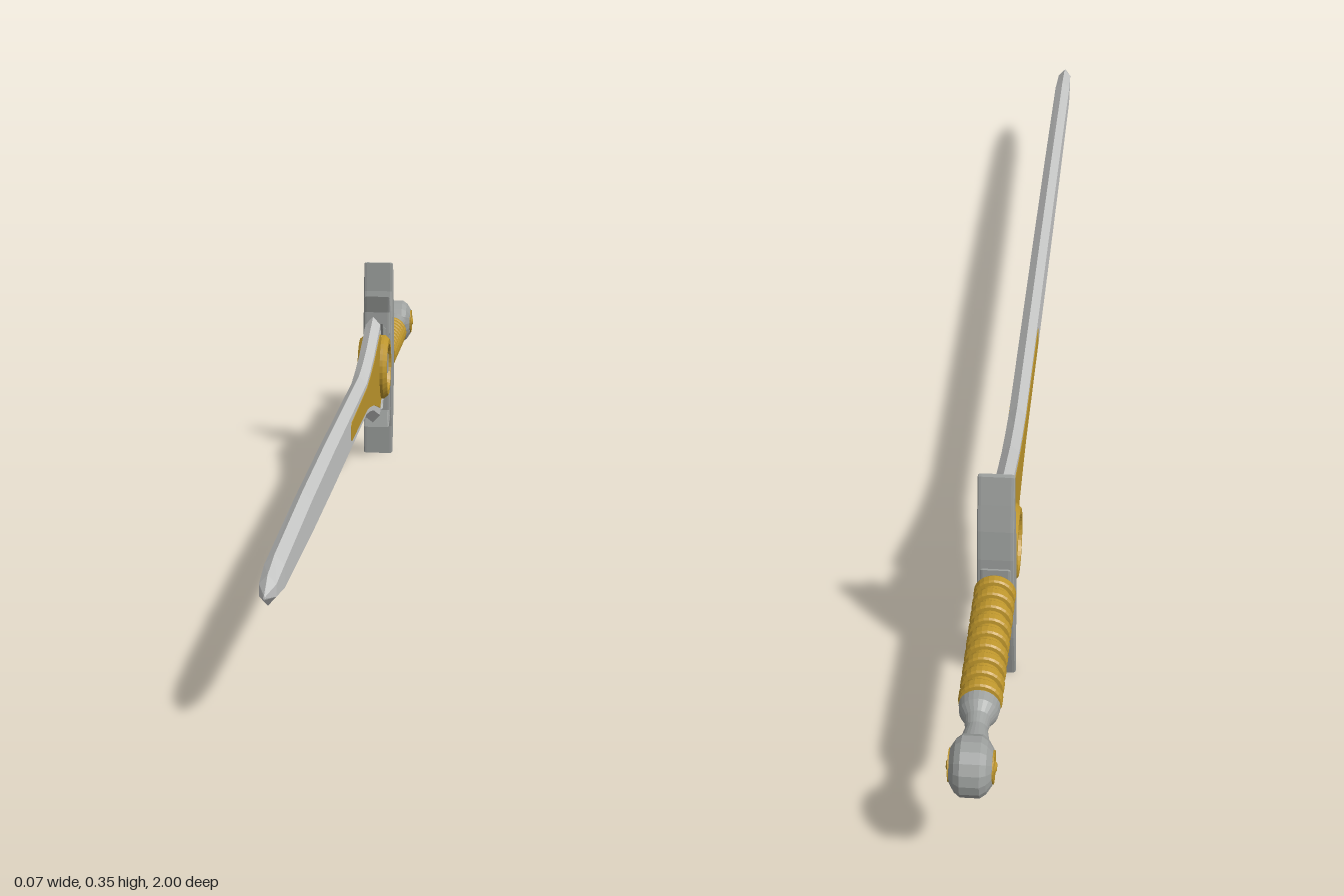
import * as THREE from 'three';

const silver = new THREE.MeshStandardMaterial({ color: 0xc6c7c6 });
silver.name = 'bladeSilver';
const steel = new THREE.MeshStandardMaterial({ color: 0x9da09e });
steel.name = 'guardSteel';
const gold = new THREE.MeshStandardMaterial({ color: 0xbe962c });
gold.name = 'gold';

const V2 = (p) => new THREE.Vector2(p[0], p[1]);

function mesh(name, geometry, material) {
  const m = new THREE.Mesh(geometry, material);
  m.name = name;
  return m;
}

// Faceted surface of revolution; profile is [radius, position along the axis]
function turned(profile, axis, segments = 32) {
  const g = new THREE.LatheGeometry(profile.map(V2), segments);
  if (axis === 'z') g.rotateX(Math.PI / 2);
  else g.rotateZ(-Math.PI / 2);
  const flat = g.toNonIndexed();
  flat.computeVertexNormals();
  return flat;
}

// Outline in [z, y], given thickness across x
function plate(points, width, bevel = 0, thick = 0) {
  const shape = new THREE.Shape(points.map(V2));
  const g = new THREE.ExtrudeGeometry(shape, {
    depth: width - 2 * thick, bevelEnabled: bevel > 0, bevelSize: bevel,
    bevelOffset: -bevel, bevelThickness: thick, bevelSegments: 2,
  });
  g.translate(0, 0, -(width - 2 * thick) / 2);
  g.rotateY(-Math.PI / 2);
  return g;
}

// Mirror an upper half outline about y = 0
const mirrored = (half) => [...half, ...half.slice().reverse().filter((p) => p[1] !== 0).map(([z, y]) => [z, -y])];

// Blade lofted from six-sided sections [z, edge height, flat height, half width]
function bladeGeometry() {
  const sections = [
    [1, 0.003, 0.001, 0.001], [0.965, 0.02, 0.008, 0.011], [0.9, 0.028, 0.015, 0.013],
    [0.6, 0.037, 0.023, 0.013], [0.3, 0.04, 0.026, 0.013], [-0.2, 0.04, 0.026, 0.013],
    [-0.26, 0.047, 0.034, 0.013], [-0.33, 0.06, 0.047, 0.013], [-0.4, 0.08, 0.067, 0.013],
    [-0.455, 0.096, 0.082, 0.013], [-0.472, 0.066, 0.058, 0.013], [-0.52, 0.045, 0.04, 0.013],
  ];
  const rings = sections.map(([z, h, f, w]) =>
    [[0, h], [-w, f], [-w, -f], [0, -h], [w, -f], [w, f]].map(([x, y]) => [x, y, z]));
  const pos = [];
  for (let i = 0; i < rings.length - 1; i++) {
    for (let k = 0; k < 6; k++) {
      const n = (k + 1) % 6;
      const [a, b, c, d] = [rings[i][k], rings[i][n], rings[i + 1][n], rings[i + 1][k]];
      pos.push(...a, ...d, ...c, ...a, ...c, ...b);
    }
  }
  const first = rings[0], last = rings[rings.length - 1];
  for (let k = 1; k < 5; k++) {
    pos.push(...first[0], ...first[k], ...first[k + 1]);
    pos.push(...last[0], ...last[k + 1], ...last[k]);
  }
  const g = new THREE.BufferGeometry();
  g.setAttribute('position', new THREE.Float32BufferAttribute(pos, 3));
  g.computeVertexNormals();
  return g;
}

export function createModel() {
  const sword = new THREE.Group();
  sword.name = 'sword';
  sword.position.y = 0.176;

  sword.add(mesh('blade', bladeGeometry(), silver));

  // Gold inlay on both faces of the blade
  const inlay = mirrored([
    [0.065, 0.011], [0.055, 0.015], [-0.2, 0.019], [-0.26, 0.026],
    [-0.33, 0.038], [-0.4, 0.055], [-0.445, 0.067], [-0.47, 0.055], [-0.49, 0.045],
  ]);
  for (const side of [1, -1]) {
    const p = mesh(side > 0 ? 'leftInlay' : 'rightInlay', plate(inlay, 0.002), gold);
    p.position.x = side * 0.013;
    sword.add(p);
  }

  // Round gold setting where blade meets guard
  const setting = new THREE.Group();
  setting.name = 'setting';
  setting.position.z = -0.486;
  setting.add(mesh('settingRing', turned([
    [0.039, -0.018], [0.041, -0.026], [0.05, -0.026], [0.057, -0.019],
    [0.057, 0.019], [0.05, 0.026], [0.041, 0.026], [0.039, 0.018],
  ], 'x'), gold));
  setting.add(mesh('settingDisc', turned([
    [0, -0.018], [0.04, -0.018], [0.04, 0.018], [0, 0.018],
  ], 'x'), gold));
  sword.add(setting);

  // Crescent crossguard
  const crescent = mirrored([
    [-0.542, 0], [-0.546, 0.05], [-0.552, 0.09], [-0.559, 0.125], [-0.561, 0.176],
    [-0.569, 0.176], [-0.579, 0.135], [-0.588, 0.095], [-0.594, 0.05], [-0.596, 0],
  ]);
  // Drop the doubled end so the outline runs once around
  const guardLine = crescent.slice(0, 10).concat(crescent.slice(10));
  sword.add(mesh('guard', plate(guardLine, 0.052, 0.002, 0.005), steel));

  // Forward wings and the claws that hold the setting
  for (const s of [1, -1]) {
    const wing = [[-0.527, 0.12], [-0.536, 0.09], [-0.534, 0.05], [-0.56, 0.045], [-0.56, 0.09], [-0.543, 0.104]];
    const claw = [[-0.484, 0.078], [-0.5, 0.055], [-0.525, 0.03], [-0.56, 0.03], [-0.556, 0.075], [-0.532, 0.062], [-0.512, 0.07]];
    const flip = (pts) => pts.map(([z, y]) => [z, s * y]);
    sword.add(mesh(s > 0 ? 'upperWing' : 'lowerWing', plate(flip(wing), 0.046, 0.002, 0.004), steel));
    sword.add(mesh(s > 0 ? 'upperClaw' : 'lowerClaw', plate(flip(claw), 0.03, 0.002, 0.003), steel));
  }
  sword.add(mesh('guardHub', plate(
    mirrored([[-0.52, 0.035], [-0.598, 0.035]]), 0.044, 0.003, 0.004), steel));

  // Grip with evenly spaced gold ribs
  sword.add(mesh('gripCore', turned([[0, -0.845], [0.023, -0.845], [0.023, -0.59], [0, -0.59]], 'z'), gold));
  const rib = turned([[0.022, -0.009], [0.028, -0.008], [0.03, -0.005], [0.03, 0.005], [0.028, 0.008], [0.022, 0.009]], 'z', 24);
  for (let i = 0; i < 9; i++) {
    const r = mesh('gripRib', rib, gold);
    r.position.z = -0.608 - i * 0.0275;
    sword.add(r);
  }

  // Neck between grip and pommel
  sword.add(mesh('pommelNeck', turned([
    [0, -0.94], [0.024, -0.935], [0.02, -0.915], [0.015, -0.89], [0.018, -0.872],
    [0.026, -0.858], [0.028, -0.843], [0, -0.84],
  ], 'z', 24), steel));

  // Lens-shaped pommel with gold bosses
  const pommel = new THREE.Group();
  pommel.name = 'pommel';
  pommel.position.z = -0.959;
  pommel.add(mesh('pommelBody', turned([
    [0, -0.028], [0.024, -0.028], [0.035, -0.021], [0.041, -0.013],
    [0.041, 0.013], [0.035, 0.021], [0.024, 0.028], [0, 0.028],
  ], 'x', 16), steel));
  pommel.add(mesh('pommelBosses', turned([
    [0, -0.033], [0.005, -0.033], [0.009, -0.03], [0.022, -0.03],
    [0.022, 0.03], [0.009, 0.03], [0.005, 0.033], [0, 0.033],
  ], 'x', 24), gold));
  sword.add(pommel);

  const model = new THREE.Group();
  model.name = 'model';
  model.add(sword);
  return model;
}
